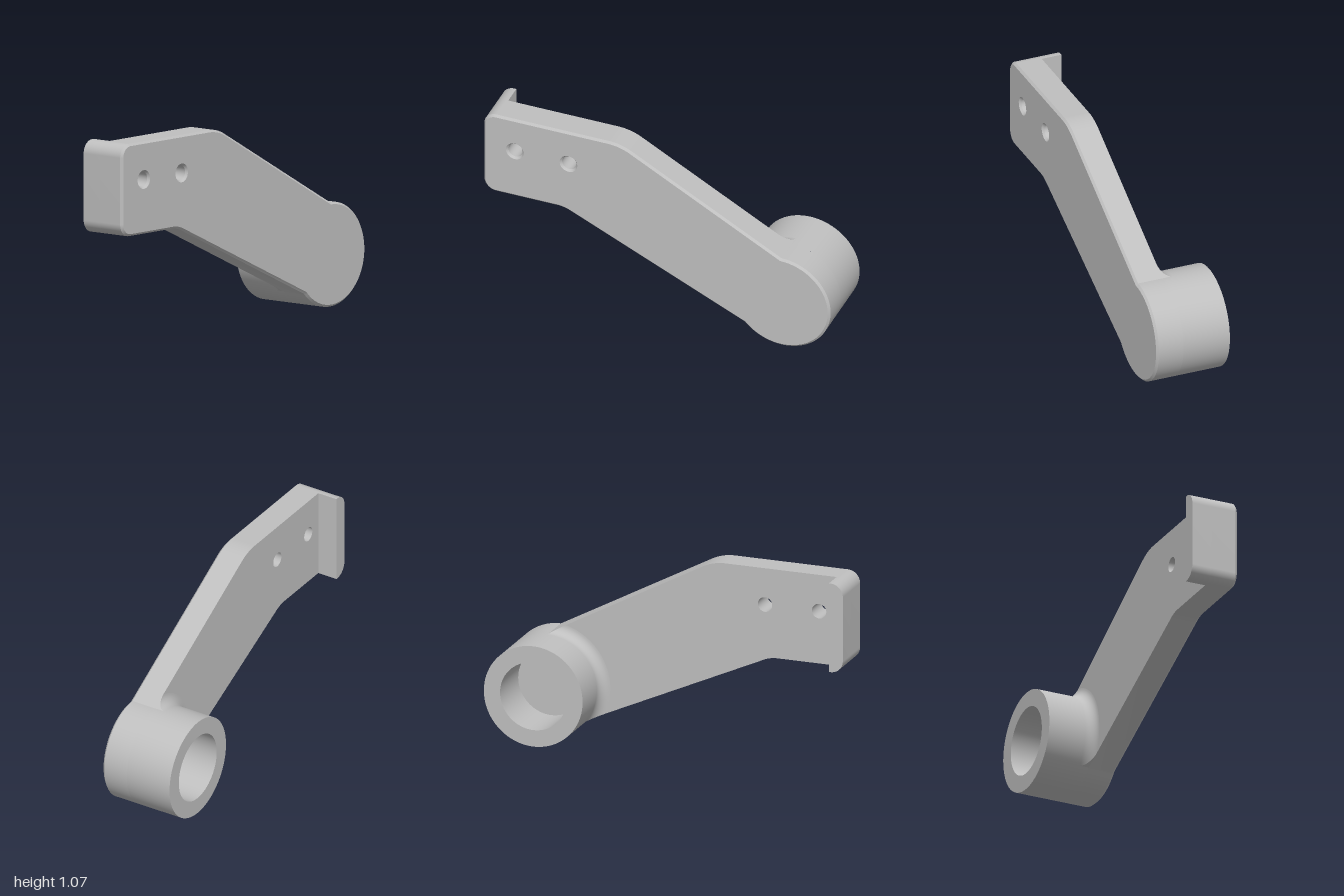
import * as THREE from 'three';
import { toCreasedNormals } from 'three/addons/utils/BufferGeometryUtils.js';

// Parts are drawn in a side profile (local x = -z of the model, local y = up)
// and given thickness along local z, which becomes the model's x.
const BOSS = { x: 0.715, y: 0.283, r: 0.283, bore: 0.19 };
const X_IN = 0.055, X_OUT = 0.21, X_LIP = -0.06, X_BOSS = -0.215, CHAMFER = 0.012;
const rad = THREE.MathUtils.degToRad;

// Triangles (flat coordinate list) to geometry, smooth on arcs and sharp at edges
function finish(tris) {
  const geo = new THREE.BufferGeometry();
  geo.setAttribute('position', new THREE.Float32BufferAttribute(tris, 3));
  const out = toCreasedNormals(geo.scale(100, 100, 100), 0.4);
  return out.scale(0.01, 0.01, 0.01);
}

// Skin between successive rings of Vector3
function loft(rings, closed, out = []) {
  const tri = (a, b, c) => {
    if (a.distanceTo(b) > 1e-6 && b.distanceTo(c) > 1e-6 && c.distanceTo(a) > 1e-6) {
      for (const p of [a, b, c]) out.push(p.x, p.y, p.z);
    }
  };
  for (let k = 0; k + 1 < rings.length; k++) {
    const lo = rings[k], hi = rings[k + 1], n = lo.length;
    for (let i = 0; i < (closed ? n : n - 1); i++) {
      const j = (i + 1) % n;
      tri(lo[i], lo[j], hi[j]);
      tri(lo[i], hi[j], hi[i]);
    }
  }
  return out;
}

// Flat face with holes at depth z
function cap(points, holes, z, flip, out) {
  const all = [points, ...holes].flat();
  for (const f of THREE.ShapeUtils.triangulateShape(points, holes)) {
    for (const i of flip ? [f[0], f[2], f[1]] : f) out.push(all[i].x, all[i].y, z);
  }
}

const at = (points, z) => points.map((p) => new THREE.Vector3(p.x, p.y, z));

// Shape points without duplicates
function sample(shape, divisions) {
  const pts = shape.getPoints(divisions);
  return pts.filter((p, i) => p.distanceTo(pts[(i + 1) % pts.length]) > 1e-4);
}

// Mitred inward offset of a counter-clockwise outline
function inset(pts, d) {
  const n = pts.length;
  return pts.map((p, i) => {
    const a = p.clone().sub(pts[(i + n - 1) % n]).normalize();
    const b = pts[(i + 1) % n].clone().sub(p).normalize();
    const k = d / (1 + a.dot(b));
    return new THREE.Vector2(p.x - (a.y + b.y) * k, p.y + (a.x + b.x) * k);
  });
}

// Clockwise circle, so that its wall faces the hole
const hole = (x, y, r) => Array.from({ length: 40 }, (_, i) => {
  const a = -i / 40 * Math.PI * 2;
  return new THREE.Vector2(x + r * Math.cos(a), y + r * Math.sin(a));
});

// Bent arm plate with chamfered outer edge and two countersunk holes
function plateGeometry() {
  const s = new THREE.Shape();
  s.moveTo(-1, 1);
  s.lineTo(-1, 0.64);
  s.absarc(-0.93, 0.64, 0.07, Math.PI, Math.PI * 1.5, false);
  s.lineTo(-0.58, 0.57);
  s.quadraticCurveTo(-0.54, 0.57, -0.503, 0.553);
  s.absarc(BOSS.x, BOSS.y, BOSS.r, rad(222.1), rad(450), false);
  s.lineTo(-0.15, 1.036);
  s.quadraticCurveTo(-0.213, 1.07, -0.285, 1.07);
  s.lineTo(-0.93, 1.07);
  s.absarc(-0.93, 1, 0.07, Math.PI / 2, Math.PI, false);
  const outline = sample(s, 32), inner = inset(outline, CHAMFER);
  const edge = X_OUT - CHAMFER, xs = [-0.82, -0.51];
  const small = xs.map((x) => hole(x, 0.865, 0.041));
  const large = xs.map((x) => hole(x, 0.865, 0.051));

  const tris = loft([at(outline, X_IN), at(outline, edge), at(inner, X_OUT)], true);
  small.forEach((h, i) => loft([at(h, X_IN), at(h, edge), at(large[i], X_OUT)], true, tris));
  cap(inner, large, X_OUT, false, tris);
  cap(outline, small, X_IN, true, tris);
  return finish(tris);
}

// Lip turned inwards at the front end
function lipGeometry() {
  const s = new THREE.Shape();
  s.moveTo(-1, 1);
  s.absarc(-0.93, 0.64, 0.07, Math.PI, Math.PI * 1.5, false);
  s.lineTo(-0.92, 0.57);
  s.lineTo(-0.92, 1.07);
  s.absarc(-0.93, 1, 0.07, Math.PI / 2, Math.PI, false);
  const outline = sample(s, 16);
  const tris = loft([at(outline, X_LIP), at(outline, X_IN)], true);
  cap(outline, [], X_LIP, true, tris);
  return finish(tris);
}

// Hollow boss; the plate closes the bottom of its bore
function bossGeometry() {
  const profile = [[BOSS.bore, X_IN], [BOSS.bore, X_BOSS], [BOSS.r, X_BOSS], [BOSS.r, X_IN]];
  const rings = profile.map(([r, z]) => at(hole(BOSS.x, BOSS.y, r).reverse(), z));
  const fine = rings.map((ring, k) => Array.from({ length: 80 }, (_, i) => {
    const a = i / 80 * Math.PI * 2, r = profile[k][0];
    return new THREE.Vector3(BOSS.x + r * Math.cos(a), BOSS.y + r * Math.sin(a), ring[0].z);
  }));
  return finish(loft(fine, true));
}

// Concave fillet from boss to plate, trimmed flush with the plate's sloping edges
function filletGeometry() {
  const f = X_IN, rings = [];
  const top = (r) => rad(118.5) - Math.acos(0.2487 / r);
  const bottom = (r) => rad(-65.7) + Math.acos(0.2596 / r);
  const point = (r, a, z) =>
    new THREE.Vector3(BOSS.x - r * Math.cos(a), BOSS.y + r * Math.sin(a), z);
  const first = point(BOSS.r, top(BOSS.r), X_IN), last = point(BOSS.r, bottom(BOSS.r), X_IN);
  for (let k = 0; k <= 10; k++) {
    const q = k / 10 * Math.PI / 2;
    const r = BOSS.r + f - f * Math.cos(q), z = f * Math.sin(q);
    const arc = Array.from({ length: 33 }, (_, i) =>
      point(r, THREE.MathUtils.lerp(top(r), bottom(r), i / 32), z));
    rings.push([first, ...arc, last]);
  }
  return finish(loft(rings, false));
}

export function createModel() {
  const metal = new THREE.MeshStandardMaterial({ color: 0xbfbfbf });
  metal.name = 'grey metal';
  const group = new THREE.Group();
  group.name = 'leverArm';
  const parts = {
    armPlate: plateGeometry(),
    endLip: lipGeometry(),
    boss: bossGeometry(),
    bossFillet: filletGeometry(),
  };
  for (const [name, geo] of Object.entries(parts)) {
    const mesh = new THREE.Mesh(geo.rotateY(Math.PI / 2), metal);
    mesh.name = name;
    group.add(mesh);
  }
  return group;
}
